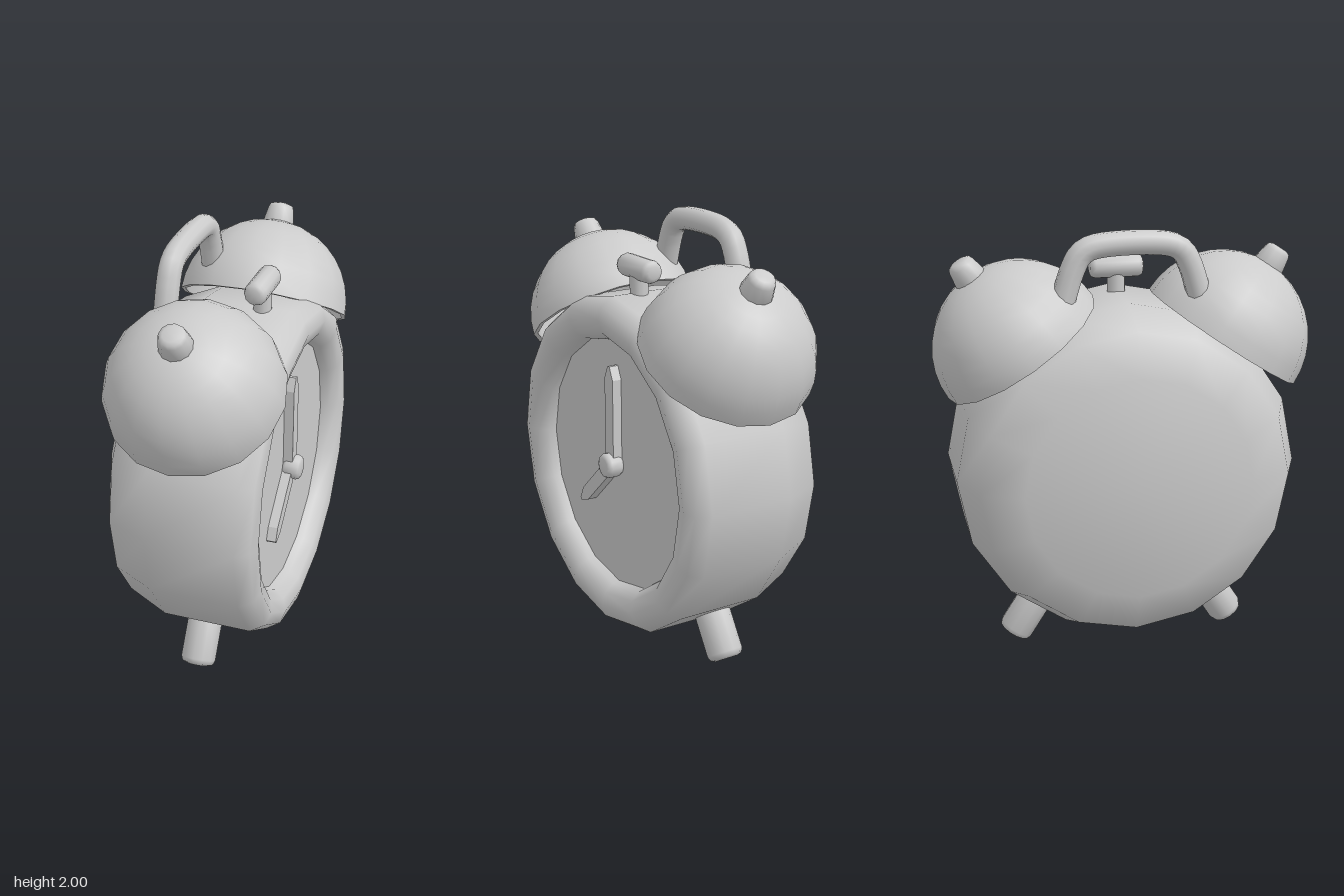
import * as THREE from 'three';
import { toCreasedNormals } from 'three/addons/utils/BufferGeometryUtils.js';

const CENTER_Y = 0.88;
const material = new THREE.MeshStandardMaterial({ color: 0xcccccc });
const openMaterial = new THREE.MeshStandardMaterial({ color: 0xcccccc, side: THREE.DoubleSide });

function add(parent, name, geometry, mat = material) {
  const mesh = new THREE.Mesh(geometry, mat);
  mesh.name = name;
  parent.add(mesh);
  return mesh;
}

// Turned part around y from [radius, height] pairs
function turned(profile, sides, crease = 0.9) {
  const points = profile.map(([r, y]) => new THREE.Vector2(r, y));
  return toCreasedNormals(new THREE.LatheGeometry(points, sides), crease);
}

// Peg from y0 to y1 with bevelled ends
function peg(r0, r1, y0, y1, bevel, sides = 12) {
  const k = bevel * 0.3;
  return turned([
    [0, y0], [r0 - bevel, y0], [r0 - k, y0 + k], [r0, y0 + bevel],
    [r1, y1 - bevel], [r1 - k, y1 - k], [r1 - bevel, y1], [0, y1],
  ], sides);
}

// Pointed clock hand, starting at the origin and pointing along +y
function handGeometry(length, halfWidth) {
  const shape = new THREE.Shape();
  shape.moveTo(-halfWidth, 0);
  shape.lineTo(halfWidth, 0);
  shape.lineTo(halfWidth, length - 0.06);
  shape.lineTo(0.008, length);
  shape.lineTo(-0.008, length);
  shape.lineTo(-halfWidth, length - 0.06);
  return new THREE.ExtrudeGeometry(shape, { depth: 0.05, bevelEnabled: false });
}

// Hollow bell, mouth at y = 0
function bellGeometry() {
  const profile = [];
  const steps = 9;
  for (let i = steps; i >= 0; i--) {
    const a = (i / steps) * Math.PI / 2;
    profile.push([0.38 * Math.cos(a), 0.38 * Math.sin(a)]);
  }
  for (let i = 0; i <= steps; i++) {
    const a = (i / steps) * Math.PI / 2;
    profile.push([0.4 * Math.cos(a), 0.4 * Math.sin(a)]);
  }
  return turned(profile, 16);
}

export function createModel() {
  const clock = new THREE.Group();
  clock.name = 'alarmClock';

  // Case with rounded back and rolled front rim; the dial faces +x
  const body = turned([
    [0, -0.4], [0.52, -0.4], [0.71, -0.32], [0.79, -0.13], [0.79, 0.28],
    [0.75, 0.342], [0.69, 0.36], [0.63, 0.342], [0.595, 0.3], [0.585, 0.25],
  ], 16).rotateZ(-Math.PI / 2);
  add(clock, 'case', body, openMaterial).position.y = CENTER_Y;

  const face = new THREE.CircleGeometry(0.6, 16).rotateY(Math.PI / 2);
  add(clock, 'dial', face).position.set(0.265, CENTER_Y, 0);

  // Hands and hub
  const hands = new THREE.Group();
  hands.name = 'hands';
  hands.position.set(0.26, CENTER_Y, 0);
  hands.rotation.y = Math.PI / 2;
  clock.add(hands);
  add(hands, 'minuteHand', handGeometry(0.47, 0.035));
  add(hands, 'hourHand', handGeometry(0.37, 0.033)).rotation.z = 2.32;
  const hub = peg(0.058, 0.058, 0, 0.085, 0.02).rotateX(Math.PI / 2);
  add(hands, 'hub', hub);

  for (const side of [1, -1]) {
    const label = side > 0 ? 'left' : 'right';

    // Tilted bell with knob
    const bell = new THREE.Group();
    bell.name = label + 'BellGroup';
    bell.position.set(0, 1.46, side * 0.468);
    bell.rotation.x = side * 0.588;
    clock.add(bell);
    add(bell, label + 'Bell', bellGeometry());
    add(bell, label + 'BellKnob', peg(0.078, 0.062, 0.35, 0.485, 0.025));

    // Leg pointing outwards from the case centre
    const leg = add(clock, label + 'Leg', peg(0.083, 0.083, 0.6, 0.992, 0.03));
    leg.position.set(0.015, CENTER_Y, 0);
    leg.rotation.x = side * (Math.PI - 0.567);
  }

  // Carrying handle between the bells
  const half = [[0.32, 1.66], [0.292, 1.76], [0.262, 1.85], [0.225, 1.915], [0.165, 1.945]];
  const path = [
    ...half.map(([z, y]) => new THREE.Vector3(-0.195, y, z)),
    ...half.slice().reverse().map(([z, y]) => new THREE.Vector3(-0.195, y, -z)),
  ];
  const curve = new THREE.CatmullRomCurve3(path);
  add(clock, 'handle', new THREE.TubeGeometry(curve, 32, 0.055, 10), openMaterial);

  // Hammer between the bells
  const hammer = new THREE.Group();
  hammer.name = 'hammer';
  hammer.position.x = 0.145;
  clock.add(hammer);
  add(hammer, 'hammerStem', new THREE.CylinderGeometry(0.042, 0.042, 0.18, 12)).position.y = 1.68;
  const head = peg(0.053, 0.053, -0.125, 0.125, 0.025).rotateX(Math.PI / 2);
  add(hammer, 'hammerHead', head).position.y = 1.78;

  return clock;
}
